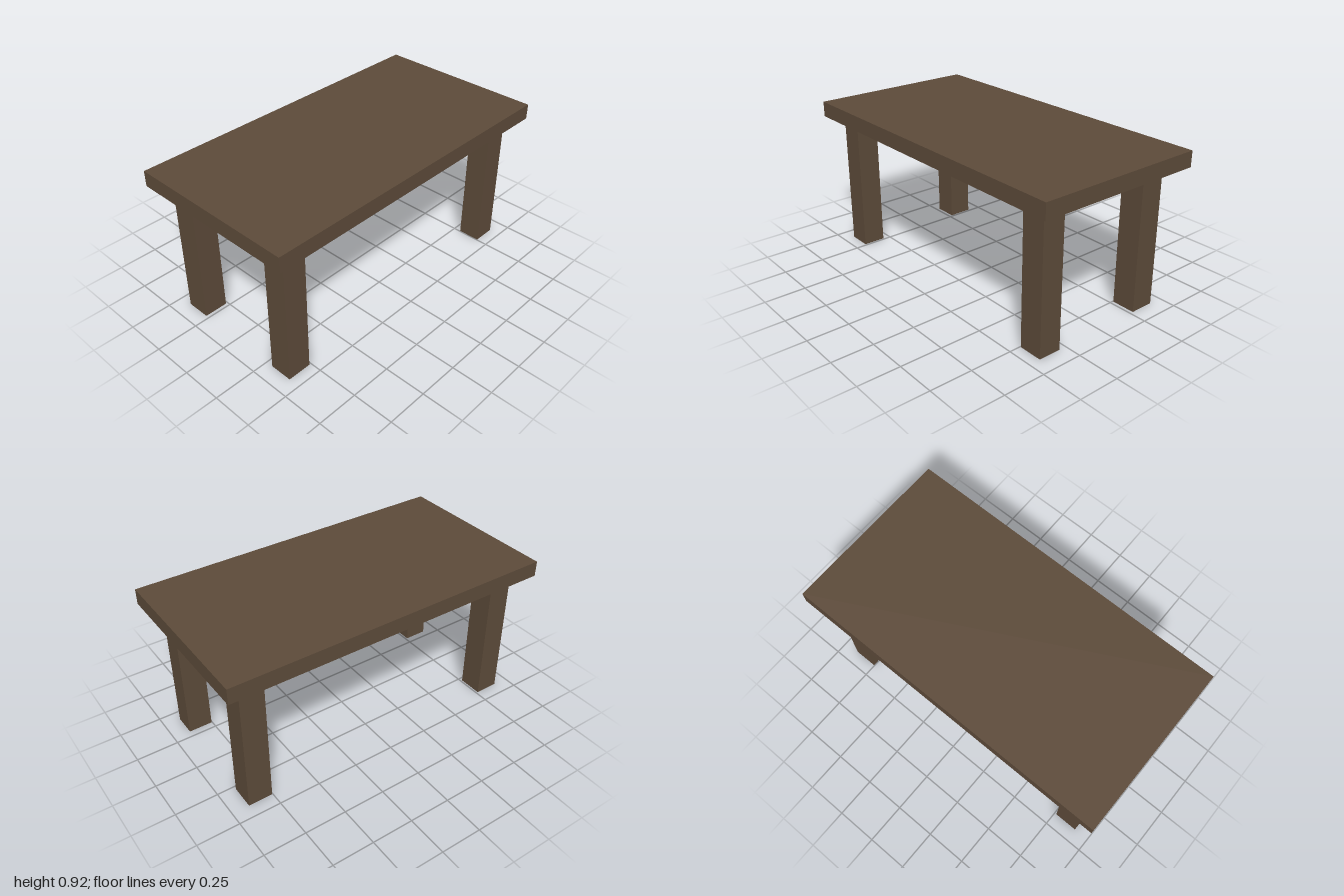
import * as THREE from 'three';

export function createModel() {
  const group = new THREE.Group();
  const wood = new THREE.MeshStandardMaterial({ color: 0x5c4a39, flatShading: true });

  // Box given by its extents along each axis
  function addBox(name, [x0, x1], [y0, y1], [z0, z1]) {
    const mesh = new THREE.Mesh(new THREE.BoxGeometry(x1 - x0, y1 - y0, z1 - z0), wood);
    mesh.position.set((x0 + x1) / 2, (y0 + y1) / 2, (z0 + z1) / 2);
    mesh.name = name;
    group.add(mesh);
  }

  const underside = 0.829;
  addBox('tableTop', [-1, 1], [underside, 0.922], [-0.519, 0.519]);

  // Four square legs, slightly off-centre under the top
  const sides = { Right: [-0.906, -0.762], Left: [0.754, 0.898] };
  const rows = { front: [0.294, 0.43], back: [-0.419, -0.272] };
  for (const [row, z] of Object.entries(rows)) {
    for (const [side, x] of Object.entries(sides)) {
      addBox(`${row}${side}Leg`, x, [0, underside], z);
    }
  }
  return group;
}
